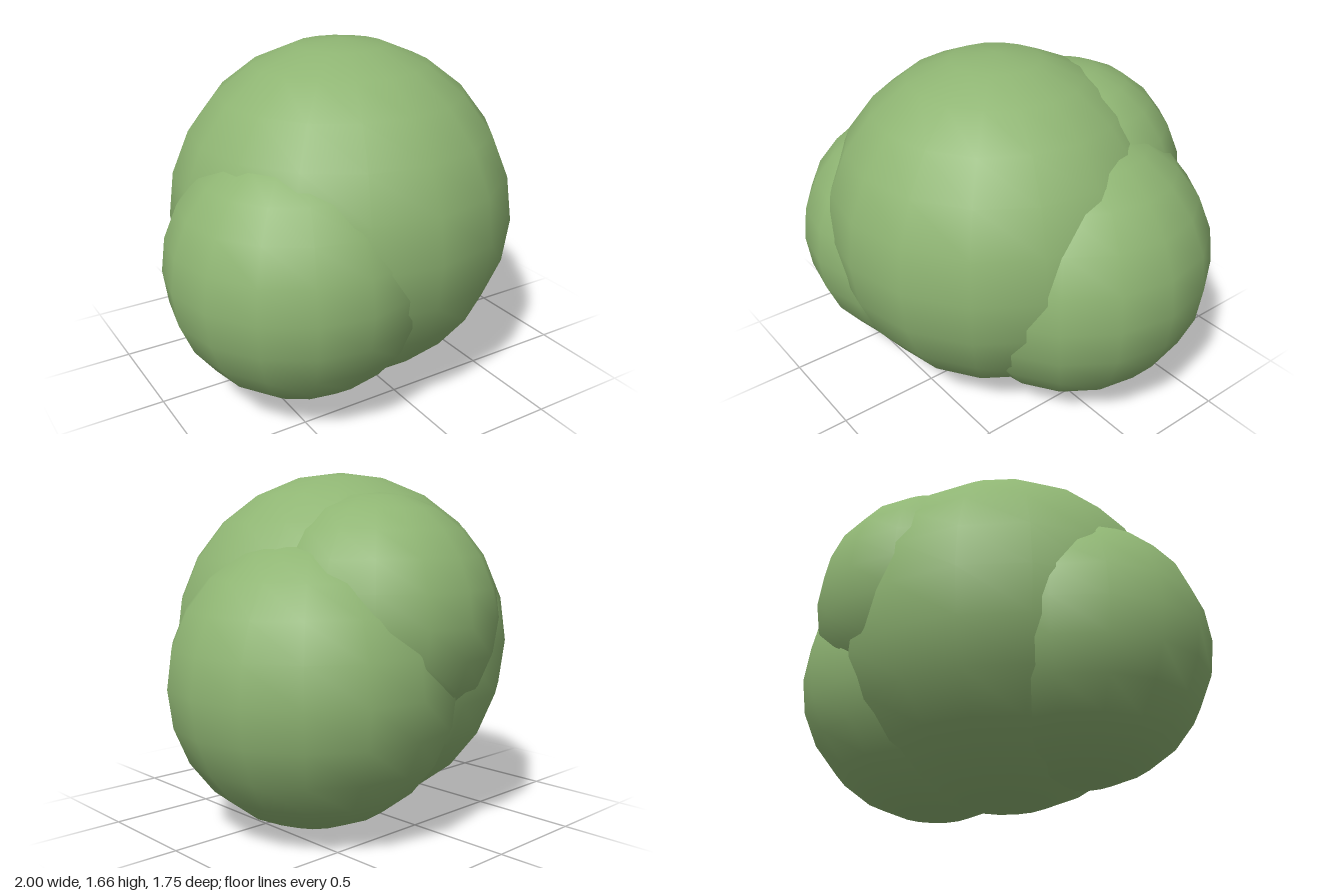
import * as THREE from 'three';

// A rounded bush made of four overlapping smooth spheres.
export function createModel() {
  const group = new THREE.Group();
  group.name = 'bush';
  const leafGreen = new THREE.MeshStandardMaterial({ color: 0x8fb573 });
  leafGreen.name = 'leafGreen';

  // name, radius, centre
  const clumps = [
    ['mainClump', 0.83, [-0.03, 0.83, 0.045]],
    ['leftClump', 0.685, [0.315, 0.69, -0.145]],
    ['rightClump', 0.63, [-0.37, 0.685, 0.24]],
    ['backClump', 0.58, [0.07, 0.98, -0.295]],
  ];
  for (const [name, radius, centre] of clumps) {
    const clump = new THREE.Mesh(new THREE.SphereGeometry(radius, 16, 12), leafGreen);
    clump.name = name;
    clump.position.set(...centre);
    group.add(clump);
  }
  return group;
}
